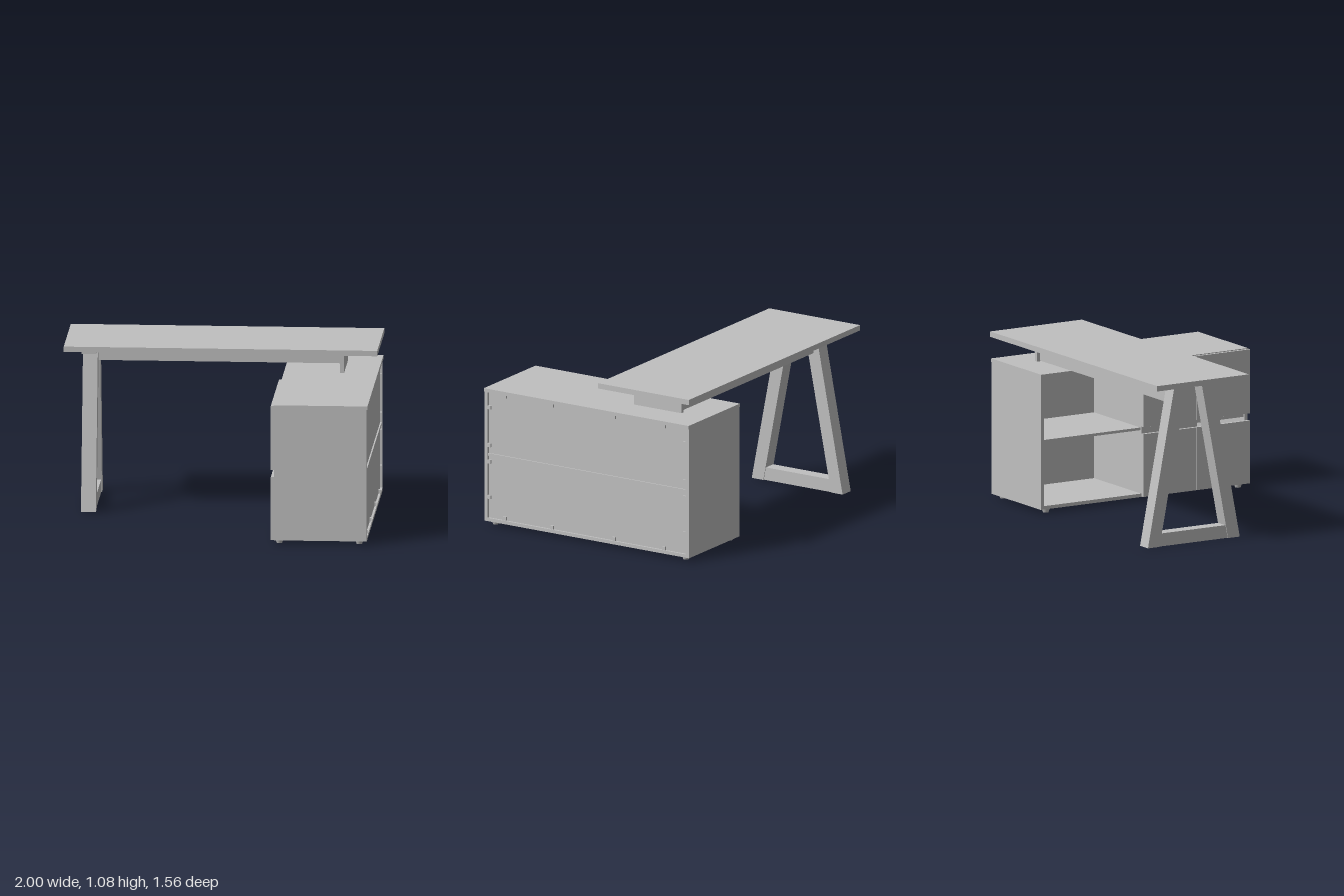
import * as THREE from 'three';

export function createModel() {
  const grey = new THREE.MeshStandardMaterial({ color: 0xc0c0c0 });
  grey.name = 'grey';

  const group = (name, parent) => {
    const g = new THREE.Group();
    g.name = name;
    if (parent) parent.add(g);
    return g;
  };
  const add = (parent, name, geometry) => {
    const mesh = new THREE.Mesh(geometry, grey);
    mesh.name = name;
    parent.add(mesh);
    return mesh;
  };
  // Box given by its limits on each axis
  const box = (parent, name, [x0, x1], [y0, y1], [z0, z1]) => {
    const mesh = add(parent, name, new THREE.BoxGeometry(x1 - x0, y1 - y0, z1 - z0));
    mesh.position.set((x0 + x1) / 2, (y0 + y1) / 2, (z0 + z1) / 2);
    return mesh;
  };

  const desk = group('desk');
  box(desk, 'tabletop', [-1, 1], [1.045, 1.08], [-0.78, -0.09]);

  // Support frame: rear beam and the bracket that stands on the cabinet
  const frame = group('supportFrame', desk);
  box(frame, 'beam', [-0.82, 0.76], [0.91, 1.045], [-0.56, -0.49]);
  box(frame, 'cabinetBracket', [0.755, 0.78], [0.903, 1.045], [-0.58, -0.22]);

  // Tapered leg frame: two leaning posts, a crossbar and a mounting plate
  const leg = group('legFrame', desk);
  const midZ = -0.435;
  for (const side of [-1, 1]) {
    const height = 1.02;
    const post = new THREE.BoxGeometry(0.095, height, 0.088);
    const p = post.attributes.position;
    for (let i = 0; i < p.count; i++) {
      const t = p.getY(i) / height + 0.5;
      p.setZ(i, p.getZ(i) + side * THREE.MathUtils.lerp(0.301, 0.104, t));
    }
    post.computeVertexNormals();
    add(leg, 'legPost', post).position.set(-0.8425, 0.005 + height / 2, midZ);
  }
  box(leg, 'crossbar', [-0.885, -0.8], [0.006, 0.09], [midZ - 0.27, midZ + 0.27]);
  box(leg, 'mountingPlate', [-0.89, -0.795], [1.022, 1.045], [-0.72, -0.15]);

  // Cabinet carcass
  const cabinet = group('cabinet', desk);
  const depth = [0.4, 0.99];
  box(cabinet, 'cabinetTop', [0.396, 0.995], [0.882, 0.905], [-0.775, 0.78]);
  box(cabinet, 'cabinetBottom', depth, [0.025, 0.047], [-0.752, 0.757]);
  box(cabinet, 'frontEndPanel', depth, [0.025, 0.882], [0.755, 0.778]);
  box(cabinet, 'backEndPanel', depth, [0.025, 0.882], [-0.775, -0.75]);
  box(cabinet, 'shelf', [0.41, 0.985], [0.458, 0.475], [-0.75, 0.755]);
  box(cabinet, 'rearPanel', [0.966, 0.976], [0.047, 0.882], [-0.75, 0.755]);
  box(cabinet, 'divider', [0.4, 0.966], [0.047, 0.882], [-0.02, 0.0]);

  // Drawer fronts, two columns by two rows
  for (const z of [[-0.018, 0.38], [0.385, 0.783]])
    for (const y of [[0.028, 0.437], [0.483, 0.9]])
      box(cabinet, 'drawerFront', [0.378, 0.398], y, z);

  // Small panel fittings around the recessed rear panel
  const fittings = group('panelFittings', cabinet);
  const fitting = (y, z) =>
    box(fittings, 'fitting', [0.974, 0.988], [y - 0.012, y + 0.012], [z - 0.012, z + 0.012]);
  for (const z of [0.63, 0.27, -0.2, -0.58]) {
    fitting(0.87, z);
    fitting(0.06, z);
  }
  for (const y of [0.78, 0.53, 0.42, 0.185]) {
    fitting(y, 0.745);
    fitting(y, -0.738);
  }

  // Round feet
  for (const x of [0.43, 0.94])
    for (const z of [0.725, -0.72])
      add(cabinet, 'foot', new THREE.CylinderGeometry(0.027, 0.018, 0.026, 20))
        .position.set(x, 0.013, z);

  return desk;
}
